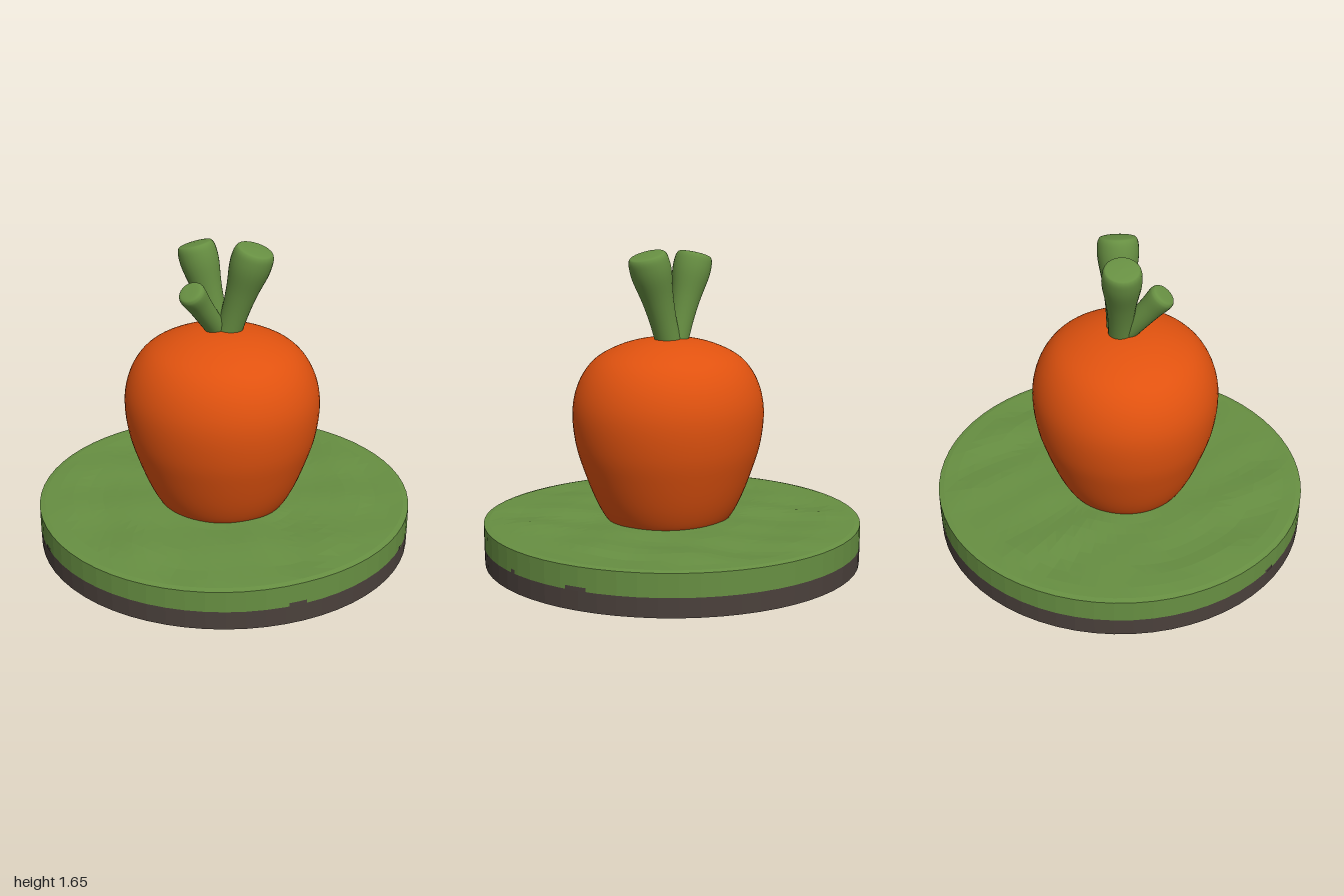
import * as THREE from 'three';
import { toCreasedNormals } from 'three/addons/utils/BufferGeometryUtils.js';

const material = (name, color) => {
  const m = new THREE.MeshStandardMaterial({ color });
  m.name = name;
  return m;
};
const points = (list) => list.map(([r, y]) => new THREE.Vector2(r, y));

// Smooth lathe through a few profile points
function smoothLathe(list, segments) {
  const curve = new THREE.SplineCurve(points(list));
  const profile = curve.getPoints(list.length * 4);
  profile.forEach((p) => { p.x = Math.max(p.x, 0); });
  return new THREE.LatheGeometry(profile, segments);
}

// Flat-faced lathe whose vertices are raised or lowered by a rule
function bumpyLathe(list, offset) {
  const geometry = new THREE.LatheGeometry(points(list), 64);
  const p = geometry.attributes.position;
  for (let i = 0; i < p.count; i++) {
    p.setY(i, p.getY(i) + offset(p.getX(i), p.getY(i), p.getZ(i)));
  }
  return toCreasedNormals(geometry, 0.06);
}

export function createModel() {
  const group = new THREE.Group();
  const green = material('leaf green', 0x678f42);
  const orange = material('carrot orange', 0xe0520f);
  const brown = material('soil brown', 0x4b413c);

  const add = (name, geometry, mat) => {
    const mesh = new THREE.Mesh(geometry, mat);
    mesh.name = name;
    group.add(mesh);
    return mesh;
  };

  // Soil disc with a slightly uneven underside
  add('soil', bumpyLathe(
    [[0, 0.01], [0.2, 0.01], [0.4, 0.01], [0.6, 0.01], [0.8, 0.01], [0.94, 0.01], [0.996, 0.012], [0.998, 0.11]],
    (x, y, z) => (y < 0.05 ? -0.01 * Math.max(0, Math.sin(4.5 * x + 1) * Math.sin(4 * z + 2 * x)) * (Math.hypot(x, z) < 0.9 ? 1 : 0) : 0),
  ), brown);

  // Grass disc: rolling top, slightly lower toward the front edge
  const wave = (x, z) => Math.sin(9 * x + 4 * z) * Math.cos(8 * z - 3 * x) + 0.5 * Math.sin(17 * x - 11 * z);
  const top = [0.9, 0.82, 0.74, 0.66, 0.58, 0.5, 0.42, 0.34, 0.2, 0].map((r) => [r, 0.235]);
  add('grass', bumpyLathe(
    [[0, 0.11], [0.998, 0.11], [0.998, 0.228], [0.97, 0.234], ...top],
    (x, y, z) => {
      if (y < 0.2) return 0;
      const r = Math.hypot(x, z);
      const fade = THREE.MathUtils.clamp((0.98 - r) * 6, 0, 1) * THREE.MathUtils.smoothstep(r, 0.25, 0.42);
      return 0.0085 * wave(x, z) * fade - 0.01 * Math.max(0, z - 0.7) / 0.3;
    },
  ), green);

  // Soil chips showing along the lower edge of the grass
  for (const [angle, width] of [[-0.76, 0.06], [0.75, 0.09], [1.95, 0.11], [1.53, 0.03]]) {
    const chip = new THREE.CylinderGeometry(1, 1, 0.02, 3, 1, true, angle - width / 2, width);
    add('soilChip', chip, brown).position.y = 0.12;
  }

  // Carrot body
  const carrot = add('carrot', smoothLathe([
    [0.3, 0.2], [0.345, 0.24], [0.4, 0.34], [0.455, 0.48], [0.498, 0.62], [0.517, 0.77],
    [0.505, 0.89], [0.46, 1.0], [0.385, 1.085], [0.27, 1.145], [0.14, 1.18], [0, 1.19],
  ], 64), orange);
  carrot.scale.z = 0.95;
  carrot.position.z = 0.028;

  // Flaring stalks with blunt, rounded ends
  const stalk = (name, from, to, profile) => {
    const a = new THREE.Vector3(...from);
    const d = new THREE.Vector3(...to).sub(a);
    const length = d.length();
    const geometry = smoothLathe(profile.map(([r, t]) => [r, t * length]), 24);
    const mesh = add(name, geometry, green);
    mesh.position.copy(a);
    mesh.quaternion.setFromUnitVectors(new THREE.Vector3(0, 1, 0), d.normalize());
  };
  const flared = [[0.066, 0], [0.07, 0.3], [0.083, 0.55], [0.104, 0.78], [0.106, 0.91], [0.097, 0.98], [0.075, 1], [0, 1.01]];
  stalk('leftStalk', [0.01, 1.12, 0], [0.17, 1.625, 0], flared);
  stalk('rightStalk', [-0.015, 1.12, 0], [-0.16, 1.62, 0], flared.map(([r, t]) => [r * 0.94, t]));
  stalk('frontStalk', [-0.02, 1.14, -0.01], [-0.095, 1.435, 0.215],
    [[0.05, 0], [0.056, 0.4], [0.062, 0.7], [0.07, 0.9], [0.066, 0.97], [0.05, 1], [0, 1.005]]);

  return group;
}
